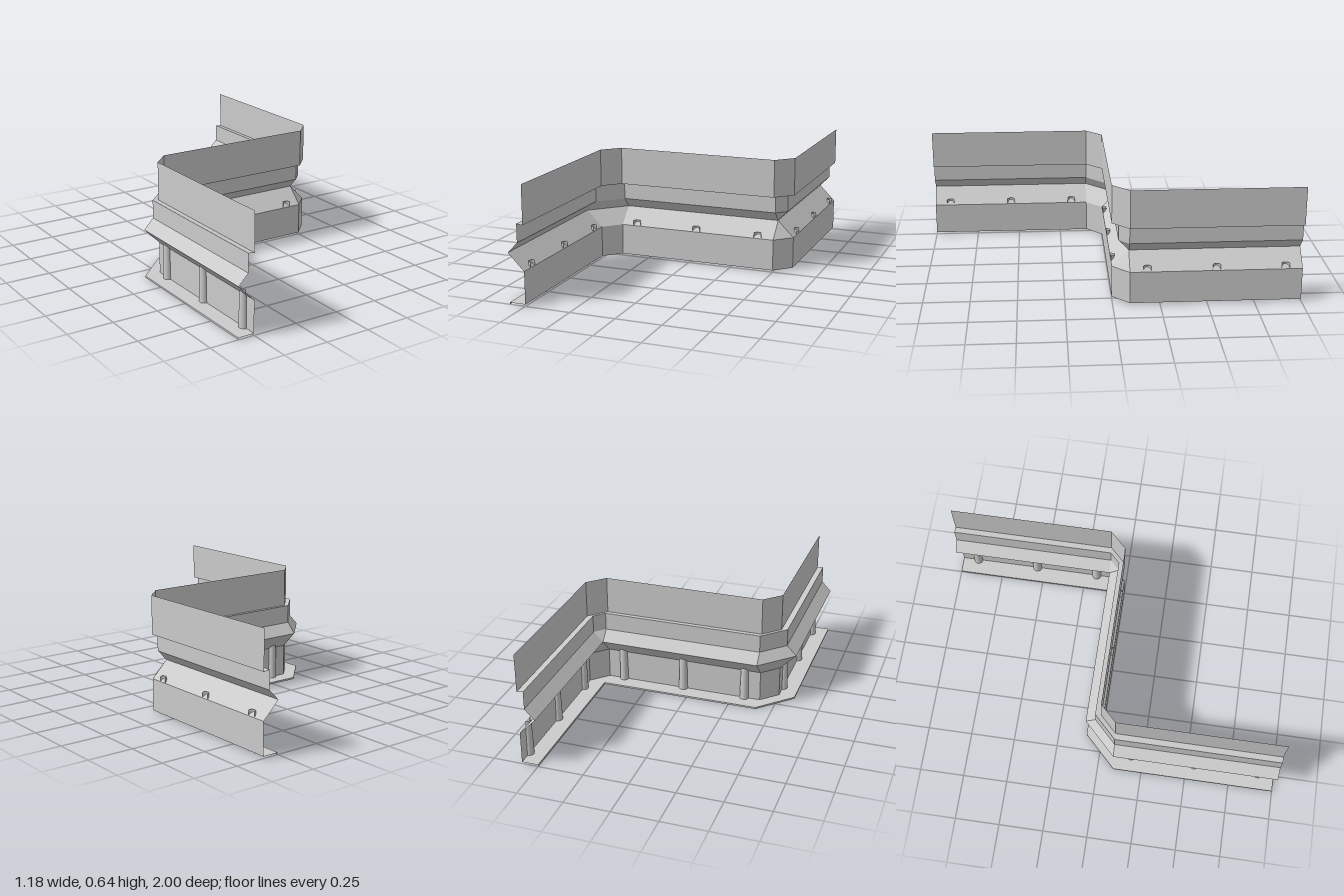
import * as THREE from 'three';

// Stations along the front of the wall: x, z and the backward direction there
const PATH = [
  [-0.5, 1, -1, 0], [-0.5, 0.09, -1, 0],
  [-0.41, 0, 0, -1], [0.5, 0, 0, -1],
  [0.59, -0.09, -1, 0], [0.59, -1, -1, 0],
];

// Sheet profile from top to bottom: depth behind the front, height
const STRIPS = {
  upperPanel: [[0, 0.637], [0, 0.427]],
  ledge: [[0, 0.427], [0.035, 0.432]],
  middlePanel: [[0.035, 0.432], [0.035, 0.332]],
  upperSlope: [[0.035, 0.332], [0.09, 0.275]],
  lowerSlope: [[0.09, 0.275], [0, 0.185]],
  lowerPanel: [[0, 0.185], [0, 0.01]],
  baseFlange: [[0, 0.01], [0.09, 0.01]],
  flangeLip: [[0.09, 0.01], [0.09, 0]],
};

// Sweeps one strip of the profile along the path
function stripGeometry([top, bottom]) {
  const at = ([x, z, nx, nz], [d, y]) => [x + nx * d, y, z + nz * d];
  const positions = [];
  for (let i = 0; i < PATH.length - 1; i++) {
    const a = at(PATH[i], top), b = at(PATH[i], bottom);
    const c = at(PATH[i + 1], bottom), d = at(PATH[i + 1], top);
    positions.push(...a, ...b, ...c, ...a, ...c, ...d);
  }
  const geometry = new THREE.BufferGeometry();
  geometry.setAttribute('position', new THREE.Float32BufferAttribute(positions, 3));
  geometry.computeVertexNormals();
  return geometry;
}

export function createModel() {
  const model = new THREE.Group();
  model.name = 'foldedWall';
  const sheet = new THREE.MeshStandardMaterial({
    color: 0xcccccc, side: THREE.DoubleSide, flatShading: true,
  });
  const smooth = new THREE.MeshStandardMaterial({ color: 0xcccccc, side: THREE.DoubleSide });

  // Folded sheet
  for (const [name, ends] of Object.entries(STRIPS)) {
    const mesh = new THREE.Mesh(stripGeometry(ends), sheet);
    mesh.name = name;
    model.add(mesh);
  }

  // Tapered half-tube ribs behind the lower panel, three on each straight run
  const height = 0.209;
  const ribGeometry = new THREE.CylinderGeometry(
    0.021, 0.026, height, 12, 1, true, Math.PI / 2, Math.PI);
  for (const run of [0, 2, 4]) {
    const [x0, z0, nx] = PATH[run];
    const [x1, z1] = PATH[run + 1];
    for (const t of [0.1, 0.5, 0.9]) {
      const rib = new THREE.Mesh(ribGeometry, smooth);
      rib.name = 'rib';
      rib.position.set(x0 + (x1 - x0) * t, 0.007 + height / 2, z0 + (z1 - z0) * t);
      rib.rotation.y = nx ? Math.PI / 2 : 0;
      model.add(rib);
    }
  }
  return model;
}
